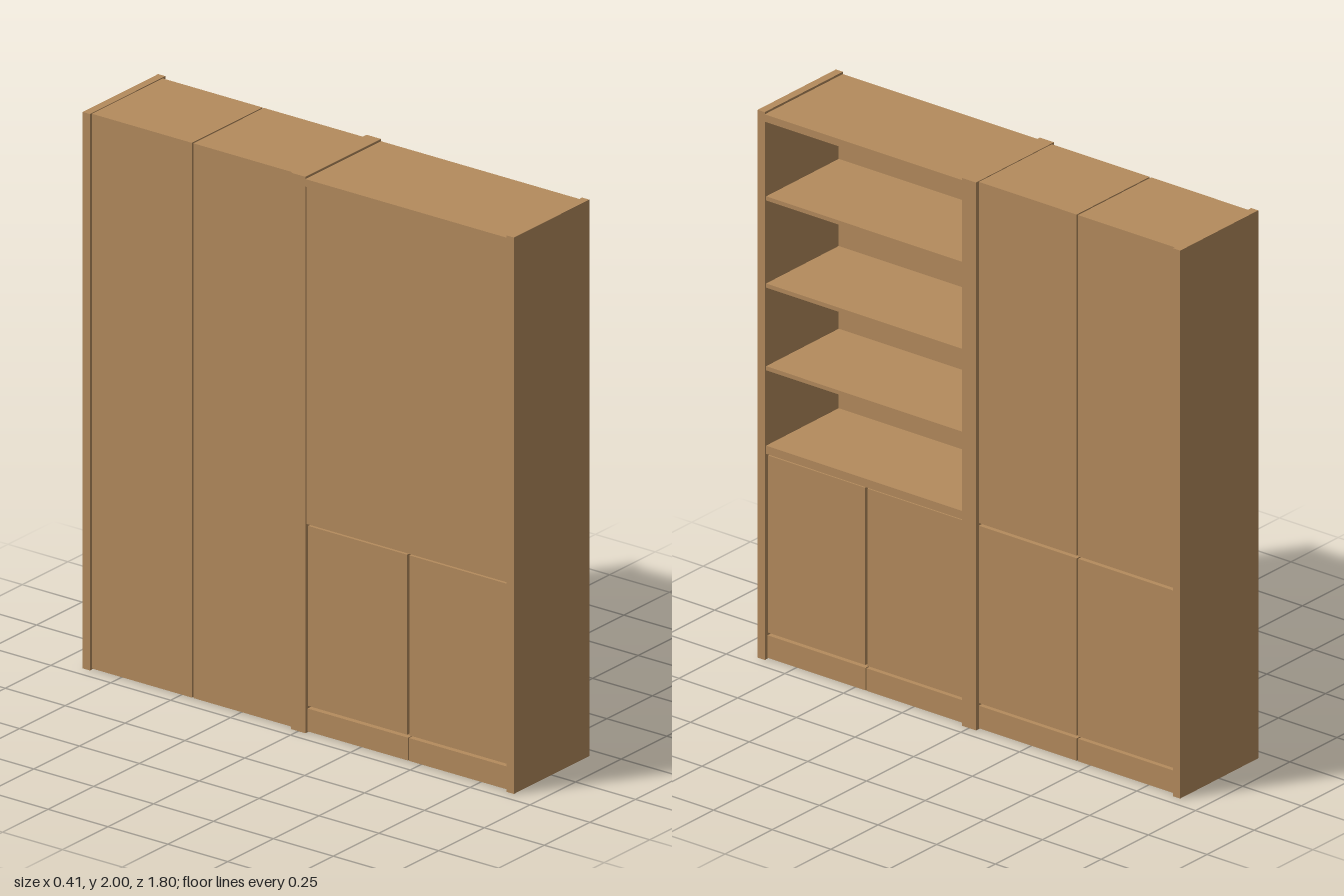
import * as THREE from 'three';

export function createModel() {
  const model = new THREE.Group();
  model.name = 'bookcaseAndCupboard';
  const wood = new THREE.MeshStandardMaterial({ color: 0xb48b5d });
  wood.name = 'oak';

  // Box given by its limits on each axis
  function board(name, [x0, x1], [y0, y1], [z0, z1]) {
    const mesh = new THREE.Mesh(new THREE.BoxGeometry(x1 - x0, y1 - y0, z1 - z0), wood);
    mesh.name = name;
    mesh.position.set((x0 + x1) / 2, (y0 + y1) / 2, (z0 + z1) / 2);
    model.add(mesh);
  }

  const full = [-0.207, 0.207];
  const frontSkin = [0.172, 0.192];
  const backSkin = [-0.195, -0.175];
  const core = [-0.175, 0.172];

  // Upright side panels: outer ends and the pair in the middle
  for (const z of [-0.9, -0.03, 0, 0.87]) board('sidePanel', full, [0, 2], [z, z + 0.03]);

  // Open bookcase: top, shelves and back
  board('bookcaseTop', full, [1.965, 1.992], [0.03, 0.87]);
  for (const y of [1.055, 1.357, 1.675]) board('shelf', [-0.19, 0.2], [y, y + 0.015], [0.03, 0.87]);
  board('counterShelf', [-0.19, 0.2], [0.75, 0.78], [0.03, 0.87]);
  board('bookcaseBack', [-0.2, -0.185], [0.75, 1.965], [0.03, 0.87]);

  // Cupboard under the bookcase, with doors on both faces
  board('lowerCupboardBody', core, [0.003, 0.75], [0.03, 0.87]);
  for (const skin of [frontSkin, backSkin]) {
    for (const z of [[0.032, 0.445], [0.455, 0.868]]) {
      board('lowerDoor', skin, [0.095, 0.742], z);
      board('lowerPlinth', skin, [0.003, 0.085], [z[0] - 0.002, z[1] + 0.004]);
    }
  }

  // Tall cupboard: two bays with a narrow seam between them
  for (const z of [[-0.87, -0.453], [-0.447, -0.03]]) {
    board('tallCupboardBody', core, [0.003, 1.997], z);
    board('tallBack', backSkin, [0.003, 1.997], z);
    board('tallPlinth', frontSkin, [0.003, 0.085], z);
    board('tallLowerDoor', frontSkin, [0.095, 0.742], z);
    board('tallUpperDoor', frontSkin, [0.752, 1.997], z);
  }
  board('seamFiller', [-0.17, 0.168], [0.003, 1.99], [-0.453, -0.447]);

  return model;
}
